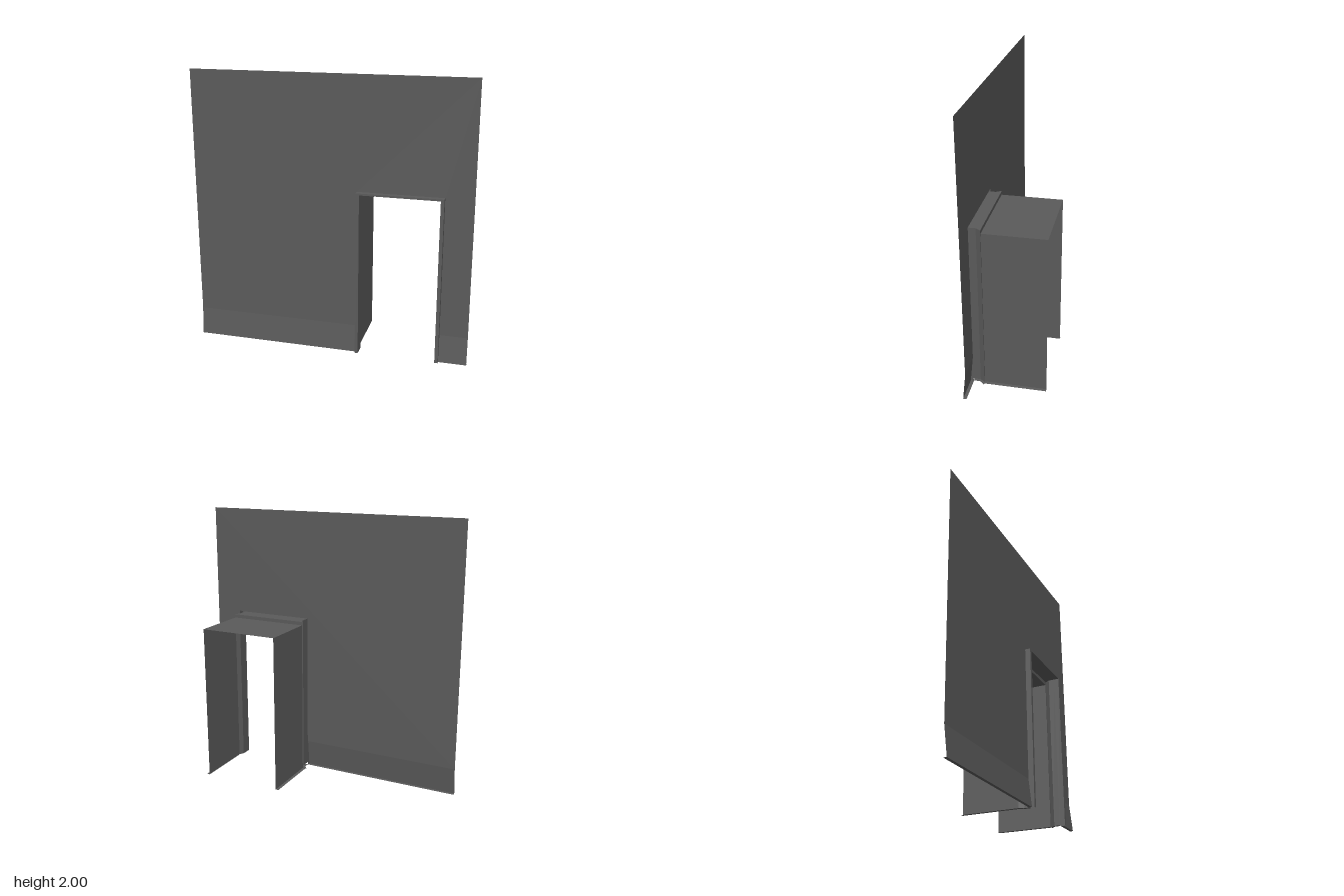
import * as THREE from 'three';

const material = new THREE.MeshStandardMaterial({ color: 0x5a5a5a, side: THREE.DoubleSide, flatShading: true });

// Flat-shaded strip of quads between two polylines of equal length
function ribbon(name, a, b) {
  const pos = [];
  for (let i = 0; i < a.length - 1; i++) {
    pos.push(...a[i], ...b[i], ...b[i + 1], ...a[i], ...b[i + 1], ...a[i + 1]);
  }
  const geo = new THREE.BufferGeometry();
  geo.setAttribute('position', new THREE.Float32BufferAttribute(pos, 3));
  geo.computeVertexNormals();
  const mesh = new THREE.Mesh(geo, material);
  mesh.name = name;
  return mesh;
}

const WALL_Z = 0.236, FLARE_Y = 0.2;
const OPEN_L = 0.198, OPEN_R = 0.802, OPEN_TOP = 1.2;
const mirror = ([x, y, z]) => [1 - x, y, z]; // across the doorway's centre, x = 0.5
const drop = ([x, , z]) => [x, 0, z];

export function createModel() {
  const group = new THREE.Group();

  // Thin wall sheet above the skirting, with the doorway cut from its lower edge
  const shape = new THREE.Shape();
  [[-1, FLARE_Y], [OPEN_L, FLARE_Y], [OPEN_L, OPEN_TOP], [OPEN_R, OPEN_TOP],
    [OPEN_R, FLARE_Y], [1, FLARE_Y], [1, 2], [-1, 2]]
    .forEach(([x, y], i) => (i ? shape.lineTo(x, y) : shape.moveTo(x, y)));
  const wall = new THREE.Mesh(new THREE.ShapeGeometry(shape), material);
  wall.position.z = WALL_Z;
  wall.name = 'wall';
  group.add(wall);

  // Skirting: slopes forward to the floor, then turns back as a narrow lip
  const skirting = [[FLARE_Y, WALL_Z], [0, 0.257], [0, 0.234]];
  for (const [x0, x1, side] of [[-1, OPEN_L, 'right'], [OPEN_R, 1, 'left']]) {
    group.add(ribbon(side + 'Skirting',
      skirting.map(([y, z]) => [x0, y, z]), skirting.map(([y, z]) => [x1, y, z])));
  }

  // Doorway sections, front to back: upper corner points of the right-hand jamb
  const sections = {
    doorTrim: [[OPEN_L, OPEN_TOP, WALL_Z], [OPEN_L, OPEN_TOP, 0.276], [0.222, 1.187, 0.276], [0.222, 1.187, WALL_Z]],
    doorReveal: [[0.222, 1.187, WALL_Z], [0.222, 1.187, 0.192], [0.197, 1.187, 0.156]],
    passageStep: [[0.197, 1.187, 0.156], [0.205, 1.161, 0.156]],
    passage: [[0.205, 1.161, 0.156], [0.205, 1.161, -0.276]],
  };
  for (const [name, top] of Object.entries(sections)) {
    const topL = top.map(mirror);
    group.add(ribbon(name + 'Right', top.map(drop), top));
    group.add(ribbon(name + 'Left', topL, topL.map(drop)));
    group.add(ribbon(name + 'Head', top, topL));
  }

  // Narrow floor lips turned outwards under the reveal and the passage walls
  const lips = {
    revealLip: [[[0.222, 0, WALL_Z], [0.222, 0, 0.192], [0.197, 0, 0.156]],
      [[0.2, 0, WALL_Z], [0.2, 0, 0.192], [0.17, 0, 0.156]]],
    passageLip: [[[0.205, 0, 0.156], [0.205, 0, -0.276]], [[0.182, 0, 0.156], [0.182, 0, -0.276]]],
  };
  for (const [name, [inner, outer]] of Object.entries(lips)) {
    group.add(ribbon(name + 'Right', inner, outer));
    group.add(ribbon(name + 'Left', outer.map(mirror), inner.map(mirror)));
  }
  return group;
}
